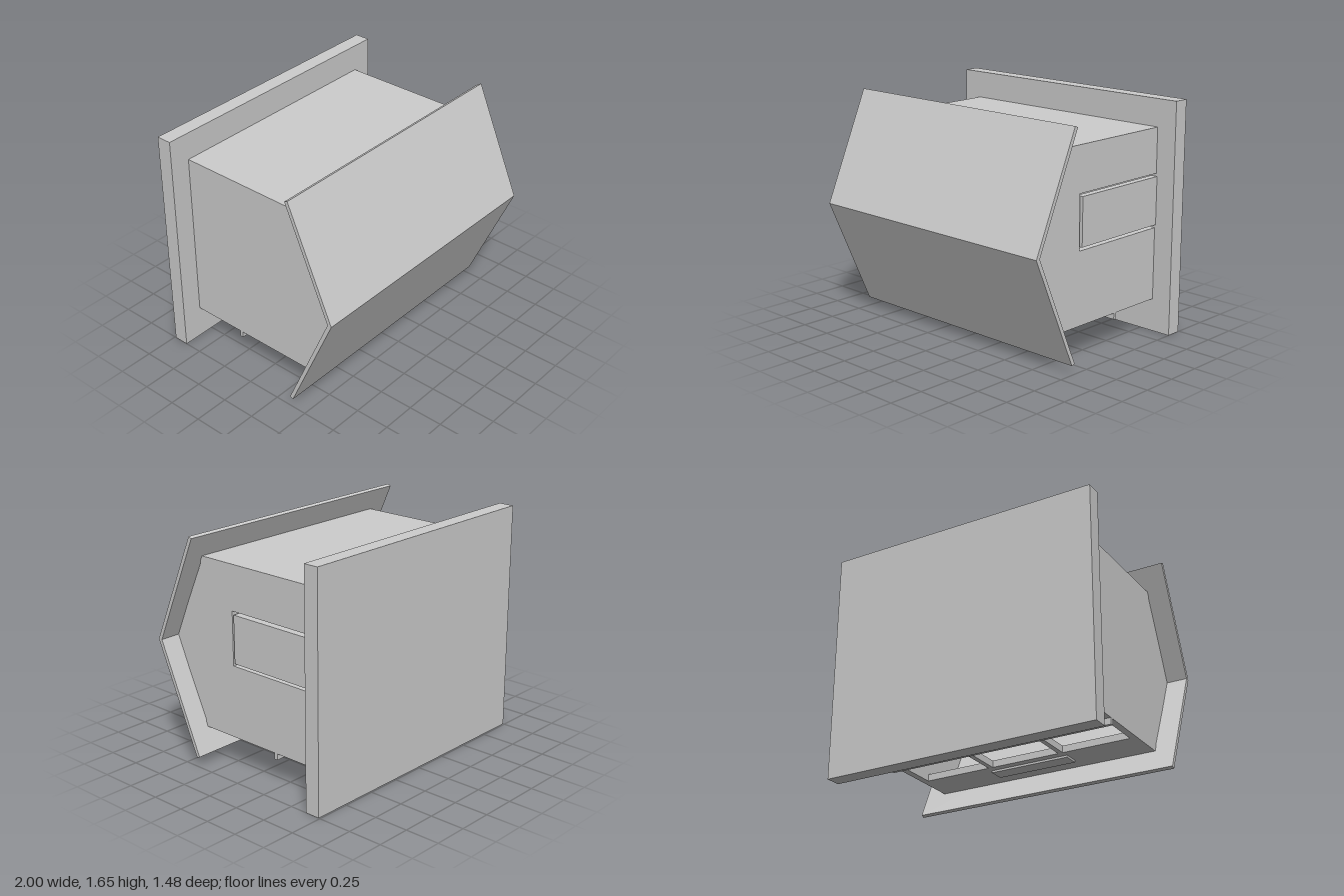
import * as THREE from 'three';

export function createModel() {
  const model = new THREE.Group();
  const grey = new THREE.MeshStandardMaterial({ color: 0xcccccc });
  grey.name = 'plain grey';

  const add = (name, geometry) => {
    const mesh = new THREE.Mesh(geometry, grey);
    mesh.name = name;
    model.add(mesh);
  };
  const box = (name, [x0, x1], [y0, y1], [z0, z1]) =>
    add(name, new THREE.BoxGeometry(x1 - x0, y1 - y0, z1 - z0)
      .translate((x0 + x1) / 2, (y0 + y1) / 2, (z0 + z1) / 2));
  const outline = (points) => new THREE.Shape(points.map(([a, b]) => new THREE.Vector2(a, b)));
  const rect = (a0, a1, b0, b1) => [[a0, b0], [a1, b0], [a1, b1], [a0, b1]];
  const extrude = (shape, depth) => new THREE.ExtrudeGeometry(shape, { depth, bevelEnabled: false });
  // profile in (z, y), running from x = from towards -x
  const alongX = (name, points, from, depth) =>
    add(name, extrude(outline(points), depth).rotateY(-Math.PI / 2).translate(from, 0, 0));
  // panel in (x, z), running from y = from towards -y
  const alongY = (name, shape, from, depth) =>
    add(name, extrude(shape, depth).rotateX(Math.PI / 2).translate(0, from, 0));

  const wall = 0.05, floorZ = -0.63, eaveZ = 0.455, midY = 0.848;
  const lowY = 0.235, highY = 1.46, inLow = lowY + wall, inHigh = highY - wall;

  // The house lies on its back: base slab at the rear, ridge towards the front
  box('baseSlab', [-1, 1], [0, 1.655], [-0.74, floorZ]);

  // Folded roof, one continuous chevron
  alongX('roof', [
    [0.74, midY], [0.395, 1.632], [0.37, 1.621], [0.709, midY], [0.37, 0.075], [0.395, 0.064],
  ], 1, 2);

  // Lower wall with three window openings
  const windowWall = outline(rect(-0.85, 0.85, floorZ, eaveZ));
  [[-0.8, -0.295], [-0.26, 0.26], [0.295, 0.8]].forEach(([x0, x1]) =>
    windowWall.holes.push(outline(rect(x0, x1, -0.205, 0.15))));
  alongY('windowWall', windowWall, inLow, wall);
  alongY('plainWall', outline(rect(-0.85, 0.85, floorZ, eaveZ)), highY, wall);

  // Gable walls, the left one notched for the door
  const gable = [[floorZ, inHigh], [eaveZ, inHigh], [0.715, midY], [eaveZ, inLow], [floorZ, inLow]];
  const doorway = [[floorZ, 0.753], [0.165, 0.753], [0.165, 1.138], [floorZ, 1.138]];
  alongX('rightGable', gable, -0.8, wall);
  alongX('leftGable', [...gable, ...doorway], 0.85, wall);
  box('door', [0.807, 0.857], [0.775, 1.117], [floorZ, 0.145]);

  // Sill below the windows and a small sign board above them
  box('windowSill', [-0.85, 0.85], [0.19, lowY], [-0.23, -0.205]);
  box('signBoard', [-0.3, 0.3], [0.22, lowY], [0.205, 0.32]);

  return model;
}
